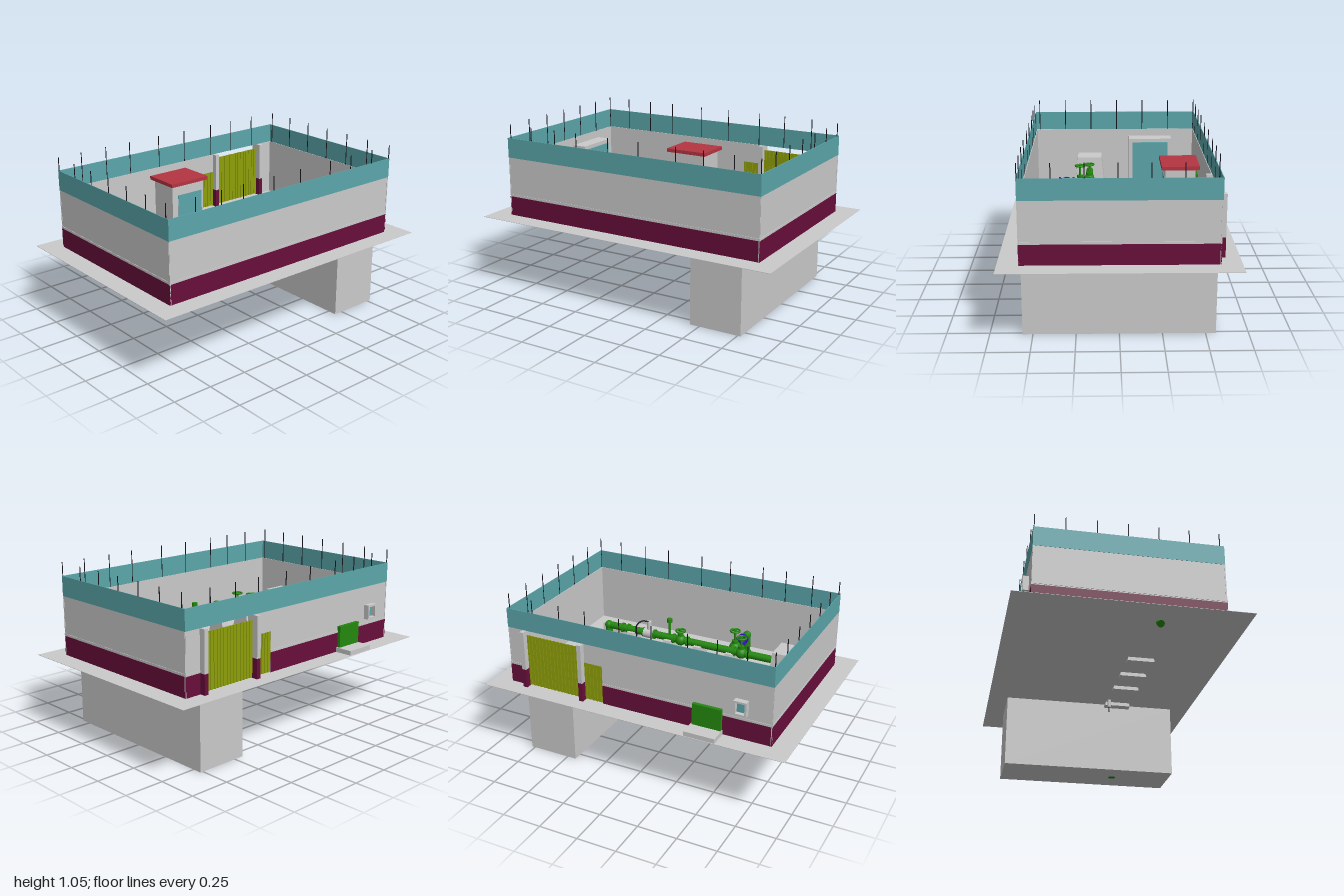
import * as THREE from 'three';

const mat = (name, color) => {
  const m = new THREE.MeshStandardMaterial({ color });
  m.name = name;
  return m;
};

export function createModel() {
  const grey = mat('concrete', 0xcacaca);
  const maroon = mat('maroon paint', 0x680e3a);
  const teal = mat('teal panel', 0x5ba6aa);
  const green = mat('green paint', 0x24880f);
  const red = mat('red roof', 0xb43542);
  const blue = mat('blue paint', 0x3a10cc);
  const olive = mat('olive gate', 0x8fa00a);
  const black = mat('black metal', 0x14141c);

  const root = new THREE.Group();
  const G = 0.465, TOP = 0.84, PX = 0.18, PY = 0.605;

  const add = (name, geo, m, x = 0, y = 0, z = 0, parent = root) => {
    const mesh = new THREE.Mesh(geo, m);
    mesh.name = name;
    mesh.position.set(x, y, z);
    parent.add(mesh);
    return mesh;
  };
  // Box given by its limits on each axis
  const box = (name, m, x0, x1, y0, y1, z0, z1) =>
    add(name, new THREE.BoxGeometry(x1 - x0, y1 - y0, z1 - z0), m, (x0 + x1) / 2, (y0 + y1) / 2, (z0 + z1) / 2);
  // Box whose top is scaled in x and z
  const frustum = (name, m, x, z, w, d, y0, y1, sx, sz) => {
    const g = new THREE.BoxGeometry(w, y1 - y0, d), p = g.attributes.position;
    for (let i = 0; i < p.count; i++)
      if (p.getY(i) > 0) p.setXYZ(i, p.getX(i) * sx, p.getY(i), p.getZ(i) * sz);
    g.computeVertexNormals();
    return add(name, g, m, x, (y0 + y1) / 2, z);
  };
  // Cylinder between two points
  const rod = (name, m, a, b, r, sides = 20) => {
    const A = new THREE.Vector3(...a), B = new THREE.Vector3(...b), d = B.clone().sub(A);
    const mesh = add(name, new THREE.CylinderGeometry(r, r, d.length(), sides), m);
    mesh.position.copy(A).add(B).multiplyScalar(0.5);
    mesh.quaternion.setFromUnitVectors(new THREE.Vector3(0, 1, 0), d.normalize());
    return mesh;
  };
  const ball = (name, m, x, y, z, r) => add(name, new THREE.SphereGeometry(r, 20, 14), m, x, y, z);

  // Ground slab and underground chamber
  box('groundSlab', grey, -0.685, 0.685, G - 0.002, G, -1, 1);
  box('undergroundChamber', grey, -0.56, 0.56, 0, G - 0.002, -0.77, -0.44);

  // Perimeter walls: concrete core, painted base and ledge outside
  const X0 = -0.565, X1 = 0.562, Z0 = -0.876, Z1 = 0.876, T = 0.008;
  for (const [s, z] of [[-1, Z0], [1, Z1]]) {
    const span = (name, m, y0, y1, a, b) =>
      box(name, m, X0, X1, y0, y1, Math.min(z - s * a, z - s * b), Math.max(z - s * a, z - s * b));
    span('endWall', grey, G, TOP, 0.002, T);
    span('endWallBase', maroon, G, 0.587, 0, 0.002);
    span('endWallLedge', grey, 0.594, 0.603, -0.001, 0.002);
    span('endWallScreen', teal, TOP, 0.965, 0, 0.004);
  }
  const sideWall = (s, z0, z1, y0 = G) => {
    const x = s > 0 ? X1 : X0;
    const span = (name, m, a, b, lo, hi) =>
      box(name, m, Math.min(x - s * a, x - s * b), Math.max(x - s * a, x - s * b), lo, hi, z0, z1);
    span('sideWall', grey, 0.002, T, y0, TOP);
    if (y0 > G) return;
    span('sideWallBase', maroon, 0, 0.002, G, 0.587);
    span('sideWallLedge', grey, -0.001, 0.002, 0.594, 0.603);
  };
  sideWall(1, Z0, Z1);
  sideWall(-1, Z0, -0.755);
  sideWall(-1, -0.35, -0.215, 0.715);
  sideWall(-1, -0.215, Z1);
  box('sideScreenLeft', teal, X1 - 0.004, X1, TOP, 0.965, Z0, Z1);
  box('sideScreenRight', teal, X0, X0 + 0.004, TOP, 0.965, Z0, Z1);

  // Fence posts
  const post = (x, z) => rod('fencePost', black, [x, TOP, z], [x, 1.05, z], 0.003, 6);
  for (let i = 0; i < 7; i++) {
    post(-0.56 + i * 0.1827, Z1 - 0.004);
    post(-0.538 + i * 0.1827, Z0 + 0.004);
  }
  for (const z of [0.69, 0.51, 0.35, 0.12, -0.09, -0.34, -0.52, -0.71]) post(X1 - 0.003, z);
  for (const z of [0.71, 0.53, 0.35, 0.12, -0.09, -0.32, -0.5, -0.69]) post(X0 + 0.003, z);

  // Gate pillars, corrugated gate and small side door
  for (const z of [-0.755, -0.35]) {
    box('gatePillarBase', maroon, -0.6, -0.525, G, 0.587, z - 0.014, z + 0.014);
    box('gatePillar', grey, -0.6, -0.525, 0.587, TOP, z - 0.014, z + 0.014);
  }
  const corrugated = (name, z0, z1, h, n) => {
    const w = (z1 - z0) / n;
    for (let i = 0; i < n; i++) {
      const x = -0.563 + (i % 2) * 0.004;
      box(name, olive, x - 0.002, x + 0.002, G + 0.005, G + h, z0 + i * w, z0 + (i + 1) * w);
    }
  };
  corrugated('gateLeaf', -0.741, -0.364, 0.345, 30);
  corrugated('sideDoor', -0.336, -0.215, 0.25, 10);

  // Transformer cabinet with cooling fins on its plinth
  box('cabinetPlinth', grey, -0.68, -0.34, G, 0.494, 0.38, 0.576);
  box('cabinet', green, -0.586, -0.42, 0.494, 0.63, 0.39, 0.572);
  for (let i = 0; i < 8; i++) {
    const z = 0.415 + i * 0.017;
    box('coolingFin', green, -0.42, -0.4, 0.51, 0.615, z, z + 0.008);
  }

  // Window box on the side wall
  box('windowBack', teal, -0.574, -0.564, 0.64, 0.71, 0.66, 0.72);
  for (const y of [0.63, 0.71]) box('windowRail', grey, -0.6, -0.564, y, y + 0.012, 0.65, 0.73);
  for (const z of [0.65, 0.718]) box('windowStile', grey, -0.6, -0.564, 0.642, 0.71, z, z + 0.012);

  // Guard house
  box('guardHouse', grey, -0.495, -0.305, G, 0.785, -0.045, 0.205);
  box('guardHouseRoof', red, -0.52, -0.28, 0.785, 0.808, -0.065, 0.225);
  box('guardHouseDoor', teal, -0.305, -0.301, 0.485, 0.715, -0.03, 0.16);

  // Booth against the front wall
  box('booth', grey, -0.4, -0.1, G, 0.79, 0.77, 0.868);
  box('boothPanel', teal, -0.375, -0.125, 0.5, 0.765, 0.766, 0.77);

  // Main pipe: rises from the chamber, runs forward, drops at the front
  const R = 0.024;
  rod('mainPipe', green, [PX, PY, -0.6], [PX, PY, 0.8], R);
  rod('pipeRiser', green, [PX, -0.001, -0.6], [PX, PY, -0.6], R);
  ball('pipeElbow', green, PX, PY, -0.6, 0.028);
  ball('pipeElbow', green, PX, PY, 0.805, 0.028);
  rod('pipeDrop', green, [PX, PY, 0.805], [PX, 0.47, 0.805], R);
  rod('pipeOutlet', green, [PX, 0.47, 0.792], [PX, 0.443, 0.819], 0.022);
  for (const z of [-0.49, -0.45, -0.33, -0.25, -0.11, -0.01, 0.32, 0.42, 0.83])
    rod('pipeFlange', green, [PX, PY, z - 0.006], [PX, PY, z + 0.006], 0.032);

  // Pipe supports and concrete blocks
  for (const z of [-0.415, -0.14, 0.075, 0.3]) frustum('pipeSupport', grey, PX, z, 0.17, 0.055, 0.44, 0.6, 0.55, 0.9);
  frustum('anchorBlock', grey, PX, 0.685, 0.215, 0.19, G, 0.695, 0.76, 0.8);
  for (const s of [-1, 1]) frustum('pitKerb', grey, PX - 0.007 + s * 0.111, -0.607, 0.052, 0.185, G, 0.56, 0.55, 1);
  box('pitCover', green, 0.085, 0.262, G, 0.5, -0.68, -0.545);

  // Branch pipe with flow meter
  rod('branchPipe', green, [PX, PY, 0.3], [0.445, PY, 0.3], R);
  ball('branchElbow', green, 0.445, PY, 0.3, 0.027);
  rod('branchDrop', green, [0.445, G, 0.3], [0.445, PY, 0.3], R);
  rod('flowMeterBody', blue, [0.285, PY, 0.3], [0.375, PY, 0.3], 0.03);
  for (const x of [0.285, 0.375]) rod('flowMeterFlange', blue, [x - 0.007, PY, 0.3], [x + 0.007, PY, 0.3], 0.036);
  ball('flowMeterCore', blue, 0.33, PY, 0.3, 0.038);

  // Valves with hand wheels
  const valve = (x, z, wheelY) => {
    ball('valveBody', green, x, PY, z, 0.037);
    rod('valveBonnet', green, [x, PY, z], [x, PY + 0.05, z], 0.02);
    rod('valveStem', green, [x, PY, z], [x, wheelY + 0.006, z], 0.007, 10);
    const rim = add('handWheel', new THREE.TorusGeometry(0.03, 0.006, 8, 24), green, x, wheelY, z);
    rim.rotation.x = Math.PI / 2;
    rod('wheelSpoke', green, [x - 0.03, wheelY, z], [x + 0.03, wheelY, z], 0.004, 6);
    rod('wheelSpoke', green, [x, wheelY, z - 0.03], [x, wheelY, z + 0.03], 0.004, 6);
  };
  valve(PX, 0.37, 0.71);
  valve(0.24, 0.3, 0.72);
  valve(PX, -0.06, 0.67);
  rod('ventStem', green, [PX, PY, -0.14], [PX, 0.725, -0.14], 0.008, 10);
  rod('ventCap', green, [PX, 0.715, -0.14], [PX, 0.74, -0.14], 0.018, 12);

  // Grey shut-off valve with a bent lever, and the small drain
  rod('shutOffValve', grey, [PX, PY, -0.325], [PX, PY, -0.26], 0.034);
  rod('shutOffNeck', grey, [PX, PY, -0.292], [PX, 0.69, -0.292], 0.016, 12);
  const arc = new THREE.CatmullRomCurve3([[0.12, 0.6, -0.355], [0.12, 0.67, -0.355], [0.145, 0.7, -0.325],
    [PX, 0.685, -0.292]].map(p => new THREE.Vector3(...p)));
  add('sampleTube', new THREE.TubeGeometry(arc, 16, 0.005, 8), black);
  rod('drainRod', black, [0.115, 0.378, -0.355], [0.115, 0.62, -0.355], 0.004, 8);
  rod('drainSleeve', grey, [0.115, 0.41, -0.355], [0.115, 0.5, -0.355], 0.012, 12);

  return root;
}
